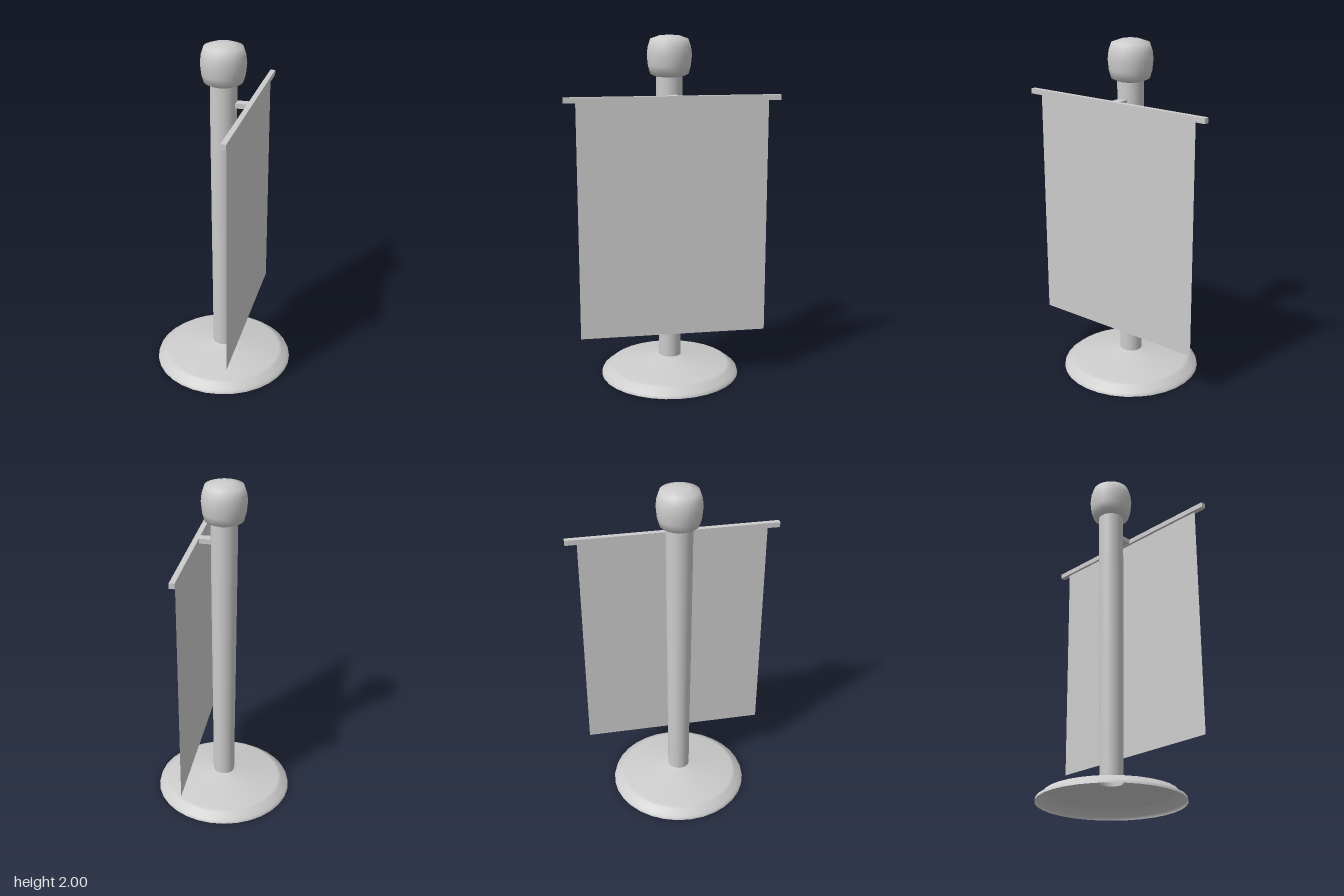
import * as THREE from 'three';

const POLE_Z = 0.033;   // pole stands slightly in front of centre
const TURN = 0.212;     // yaw of the banner assembly

const solid = new THREE.MeshStandardMaterial({ color: 0xcccccc });
const thin = new THREE.MeshStandardMaterial({ color: 0xcccccc, side: THREE.DoubleSide });

function add(parent, name, geometry, material) {
  const mesh = new THREE.Mesh(geometry, material);
  mesh.name = name;
  parent.add(mesh);
  return mesh;
}

function lathe(points) {
  return new THREE.LatheGeometry(points.map(([r, y]) => new THREE.Vector2(r, y)), 32);
}

export function createModel() {
  const model = new THREE.Group();
  model.name = 'bannerStand';

  // Turned parts around the pole axis
  const stand = new THREE.Group();
  stand.name = 'stand';
  stand.position.z = POLE_Z;
  model.add(stand);

  // Hollow, shallow conical foot with a stepped rim
  add(stand, 'base', lathe([
    [0.41, 0], [0.405, 0.018], [0.385, 0.026], [0.365, 0.05], [0.345, 0.056],
    [0.2, 0.084], [0.08, 0.107], [0.065, 0.113],
  ]), thin);

  // Open tube, a little wider at the top
  add(stand, 'pole', lathe([
    [0.065, 0.107], [0.066, 0.4], [0.07, 0.9], [0.074, 1.5], [0.075, 1.79],
  ]), thin);

  // Rounded knob with a flattened top
  add(stand, 'knob', lathe([
    [0, 1.768], [0.075, 1.77], [0.108, 1.785], [0.121, 1.83], [0.127, 1.89],
    [0.122, 1.935], [0.107, 1.98], [0.052, 1.999], [0, 2],
  ]), solid);

  // Crossbar, bracket and cloth share one turned frame, long axis along z
  const banner = new THREE.Group();
  banner.name = 'banner';
  banner.position.x = 0.148;
  banner.rotation.y = TURN;
  model.add(banner);

  add(banner, 'crossbar', new THREE.BoxGeometry(0.03, 0.03, 1.215), solid)
    .position.y = 1.66;

  add(banner, 'bracket', new THREE.BoxGeometry(0.09, 0.028, 0.054), solid)
    .position.set(-0.05, 1.66, 0);

  const cloth = add(banner, 'cloth', new THREE.PlaneGeometry(1.08, 1.355), thin);
  cloth.rotation.y = Math.PI / 2;
  cloth.position.y = 0.9675;

  return model;
}
